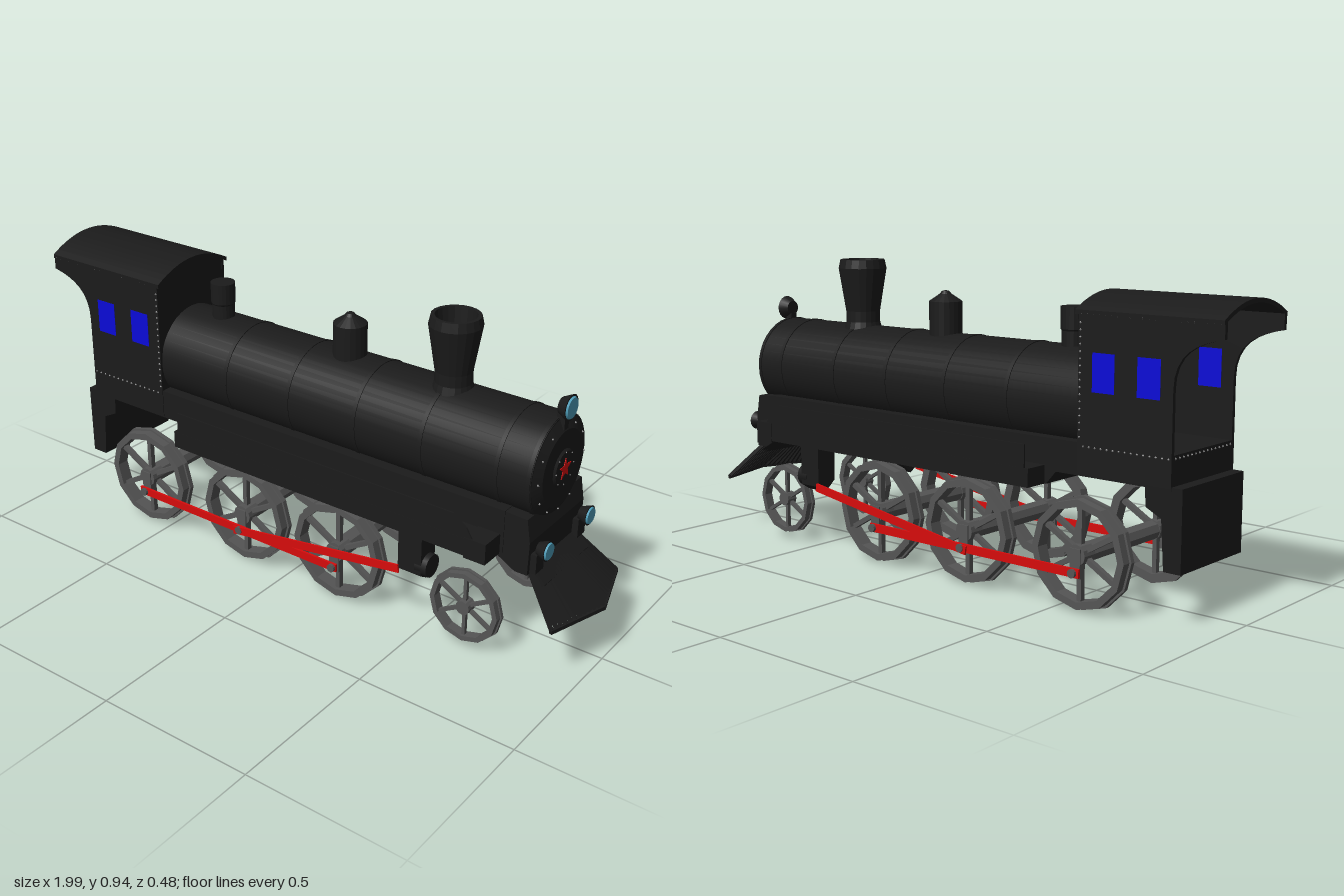
import * as THREE from 'three';
import { mergeGeometries } from 'three/addons/utils/BufferGeometryUtils.js';

const mat = (color, flatShading = false) =>
  new THREE.MeshStandardMaterial({ color, flatShading, side: THREE.DoubleSide });
const black = mat(0x1b1b1b), blackFlat = mat(0x1b1b1b, true), gray = mat(0x555555, true);
const red = mat(0xd80c0c), blue = mat(0x0a0ad8), glass = mat(0x4fa0bc), stud = mat(0x888888);

export function createModel() {
  const model = new THREE.Group();
  const add = (name, geo, material = black, x = 0, y = 0, z = 0, parent = model) => {
    const m = new THREE.Mesh(geo, material);
    m.name = name;
    m.position.set(x, y, z);
    parent.add(m);
    return m;
  };
  // box given by its limits
  const box = (name, x0, x1, y0, y1, z0, z1, material) =>
    add(name, new THREE.BoxGeometry(x1 - x0, y1 - y0, Math.abs(z1 - z0)), material,
      (x0 + x1) / 2, (y0 + y1) / 2, (z0 + z1) / 2);
  const shapeOf = pts => new THREE.Shape(pts.map(p => new THREE.Vector2(...p)));
  // extrusion centred on its own z axis
  const prism = (shape, depth, seg = 8) =>
    new THREE.ExtrudeGeometry(shape, { depth, bevelEnabled: false, curveSegments: seg }).translate(0, 0, -depth / 2);
  const cylX = (r0, r1, len, n = 32) => new THREE.CylinderGeometry(r1, r0, len, n).rotateZ(-Math.PI / 2);
  const cylZ = (r, len, n = 12) => new THREE.CylinderGeometry(r, r, len, n).rotateX(Math.PI / 2);
  const lathe = (pts, n = 20) => new THREE.LatheGeometry(pts.map(p => new THREE.Vector2(...p)), n);
  // bar between two points
  const bar = (a, b, w, d) => {
    const A = new THREE.Vector3(...a), B = new THREE.Vector3(...b);
    const q = new THREE.Quaternion().setFromUnitVectors(new THREE.Vector3(1, 0, 0), B.clone().sub(A).normalize());
    const g = new THREE.BoxGeometry(A.distanceTo(B), w, d).applyQuaternion(q);
    return g.translate(...A.add(B).multiplyScalar(0.5).toArray());
  };
  const rivets = [];
  const rivet = (x, y, z) => rivets.push(new THREE.OctahedronGeometry(0.004).translate(x, y, z));

  // boiler, bands and smokebox front
  const by = 0.57, br = 0.154;
  add('boiler', cylX(br, br, 1.355, 36), black, 0.1325, by);
  add('smokeboxFront', cylX(0.15, 0.115, 0.015, 36), black, 0.8175, by);
  add('smokeboxDoor', cylX(0.058, 0.052, 0.006, 24), black, 0.828, by);
  for (const x of [-0.275, -0.03, 0.217, 0.45, 0.7, 0.802]) add('boilerBand', cylX(br + 0.0025, br + 0.0025, 0.012, 36), black, x, by);
  for (let i = 0; i < 12; i++) {
    const a = i * Math.PI / 6;
    rivet(0.82, by + 0.131 * Math.cos(a), 0.131 * Math.sin(a));
    if (i < 8) rivet(0.83, by + 0.05 * Math.cos(i * Math.PI / 4), 0.05 * Math.sin(i * Math.PI / 4));
  }
  const star = [];
  for (let i = 0; i < 10; i++) {
    const a = Math.PI / 2 + i * Math.PI / 5, r = i % 2 ? 0.014 : 0.034;
    star.push([r * Math.cos(a), r * Math.sin(a)]);
  }
  add('star', prism(shapeOf(star), 0.004).rotateY(Math.PI / 2), red, 0.831, by);

  // chimney and domes
  add('chimney', lathe([[0.066, 0.7], [0.056, 0.735], [0.056, 0.77], [0.079, 0.91], [0.073, 0.938], [0.062, 0.938], [0.045, 0.78], [0, 0.78]]), blackFlat, 0.46);
  add('sandDome', lathe([[0.052, 0.7], [0.052, 0.822], [0.018, 0.845], [0.012, 0.853], [0, 0.856]]), blackFlat, 0.094);
  add('steamDome', lathe([[0.036, 0.7], [0.036, 0.765], [0.039, 0.77], [0.039, 0.836], [0, 0.836]]), blackFlat, -0.405);

  // lamps
  const lamp = (x, y, z, r) => {
    add('lampBody', cylX(r * 0.7, r * 1.15, 0.03, 20), black, x, y, z);
    add('lampGlass', cylX(r, r * 0.9, 0.006, 20), glass, x + 0.017, y, z);
  };
  lamp(0.82, 0.758, 0, 0.034);
  box('lampStand', 0.8, 0.825, 0.69, 0.74, -0.012, 0.012);
  for (const s of [1, -1]) {
    lamp(0.848, 0.374, s * 0.122, 0.027);
    box('lampBracket', 0.81, 0.84, 0.3, 0.36, s * 0.122 - 0.022, s * 0.122 + 0.022);
  }

  // underframe, front apron and rear drop
  const frame = shapeOf([[-0.85, 0.38], [-0.465, 0.38], [-0.43, 0.34], [0.74, 0.34], [0.74, 0.475], [-0.85, 0.475]]);
  add('underframe', prism(frame, 0.316));
  add('frontApron', prism(shapeOf([[0.7, 0.34], [0.78, 0.295], [0.82, 0.295], [0.822, 0.4], [0.81, 0.47], [0.7, 0.475]]), 0.312));
  add('rearDrop', prism(shapeOf([[-0.885, 0.39], [-0.885, 0.155], [-0.83, 0.155], [-0.82, 0.3], [-0.77, 0.325], [-0.765, 0.39]]), 0.315));

  // cab open at the back: sides with a curved overhang, front wall, arched roof
  const side = new THREE.Shape();
  side.moveTo(-0.85, 0.385);
  side.lineTo(-0.54, 0.385);
  side.lineTo(-0.54, 0.845);
  side.lineTo(-1, 0.845);
  side.lineTo(-1, 0.795);
  side.bezierCurveTo(-0.92, 0.78, -0.85, 0.75, -0.85, 0.65);
  const arch = (w, y0, h) => Array.from({ length: 17 }, (_, i) => {
    const t = 1 - i / 8;
    return [w * t, y0 + h * (1 - t * t)];
  });
  const wall = shapeOf([[-0.155, 0.385], [0.155, 0.385], ...arch(0.155, 0.84, 0.046)]);
  add('cabFrontWall', prism(wall, 0.012).rotateY(Math.PI / 2), black, -0.547);
  const roof = shapeOf([...arch(0.163, 0.845, 0.047), ...arch(0.163, 0.832, 0.047).reverse()]);
  add('cabRoof', prism(roof, 0.47).rotateY(Math.PI / 2), black, -0.765);
  for (const s of [1, -1]) {
    add('cabSide', prism(side, 0.012), black, 0, 0, s * 0.154);
    for (const x of [-0.773, -0.625]) box('cabWindow', x - 0.037, x + 0.037, 0.62, 0.73, s * 0.147, s * 0.161, blue);
    for (let x = -0.84; x < -0.54; x += 0.02) rivet(x, 0.465, s * 0.16);
    for (let x = -0.99; x < -0.54; x += 0.02) rivet(x, 0.835, s * 0.16);
    for (let y = 0.49; y < 0.82; y += 0.02) rivet(-0.546, y, s * 0.16);
  }
  for (let z = -0.14; z < 0.15; z += 0.02) rivet(-0.85, 0.465, z);
  add('rivets', mergeGeometries(rivets), stud);

  // spoked wheel standing in the xy plane, flange on the inner side
  const ring = (r0, r1, depth) => {
    const sh = new THREE.Shape().absarc(0, 0, r1, 0, Math.PI * 2);
    sh.holes.push(new THREE.Path().absarc(0, 0, r0, 0, Math.PI * 2, true));
    return prism(sh, depth, 6);
  };
  const wheel = (name, x, y, s, r, w) => {
    const g = new THREE.Group();
    g.name = name;
    g.position.set(x, y, s * (0.168 + w / 2));
    model.add(g);
    add('tyre', ring(r * 0.83, r * 0.96, w), gray, 0, 0, 0, g);
    add('flange', ring(r * 0.86, r, w * 0.35), gray, 0, 0, -s * w * 0.32, g);
    add('hub', cylZ(r * 0.19, w * 1.2), gray, 0, 0, 0, g);
    for (let i = 0; i < 6; i++) {
      const spoke = new THREE.BoxGeometry(r * 0.75, r * 0.09, w * 0.4).translate(r * 0.49, 0, 0);
      add('spoke', spoke, gray, 0, 0, 0, g).rotation.z = Math.PI / 2 + i * Math.PI / 3;
    }
  };
  const drivers = [-0.58, -0.168, 0.198];
  for (const x of drivers) add('axle', cylZ(0.03, 0.36, 8), gray, x, 0.168);

  for (const s of [1, -1]) {
    // wheels, crank pins and rods
    for (const x of drivers) {
      wheel('drivingWheel', x, 0.168, s, 0.165, 0.042);
      add('crank', new THREE.BoxGeometry(0.035, 0.085, 0.01), gray, x, 0.145, s * 0.213);
      add('crankPin', cylZ(0.013, 0.03), gray, x, 0.12, s * 0.222);
    }
    wheel('leadingWheel', 0.645, 0.14, s, 0.118, 0.03);
    add('couplingRod', bar([-0.6, 0.12, s * 0.224], [0.212, 0.12, s * 0.224], 0.026, 0.008), red);
    add('mainRod', bar([-0.19, 0.115, s * 0.231], [0.445, 0.215, s * 0.236], 0.026, 0.006), red);

    // running board, its skirt and the steam cylinder
    const board = shapeOf([[-0.425, 0.34], [0.73, 0.34], [0.73, 0.395], [-0.425, 0.395]]);
    add('runningBoard', prism(board, 0.08), black, 0, 0, s * 0.195);
    const skirt = shapeOf([[-0.41, 0.39], [0.69, 0.39], [0.665, 0.43], [0.62, 0.463], [-0.41, 0.463]]);
    add('skirt', prism(skirt, 0.005), black, 0, 0, s * 0.232);
    box('stepBox', 0.66, 0.73, 0.335, 0.4, s * 0.16, s * 0.237);
    const chest = shapeOf([[0.16, 0.34], [0.16, 0.23], [0.2, 0.195], [0.232, 0.215], [0.232, 0.34]].map(([z, y]) => [-s * z, y]));
    add('cylinderChest', prism(chest, 0.08).rotateY(Math.PI / 2), black, 0.48);
    add('steamCylinder', cylX(0.036, 0.036, 0.04, 16), black, 0.517, 0.24, s * 0.198);
  }

  // cowcatcher: fan of bars ending on a V-shaped rail
  const bars = [], n = 22;
  for (let i = 0; i <= n; i++) {
    const t = i / n * 2 - 1;
    bars.push(bar([0.8, 0.315, t * 0.125], [0.988 - 0.06 * Math.abs(t), 0.18, t * 0.195], 0.012, 0.008));
  }
  for (const s of [1, -1]) bars.push(bar([0.99, 0.176, 0], [0.928, 0.176, s * 0.2], 0.012, 0.01));
  add('cowcatcher', mergeGeometries(bars));
  add('cowcatcherPlate', prism(shapeOf([[0.78, 0.32], [0.8, 0.295], [0.86, 0.257], [0.865, 0.268], [0.81, 0.325]]), 0.26));
  return model;
}
